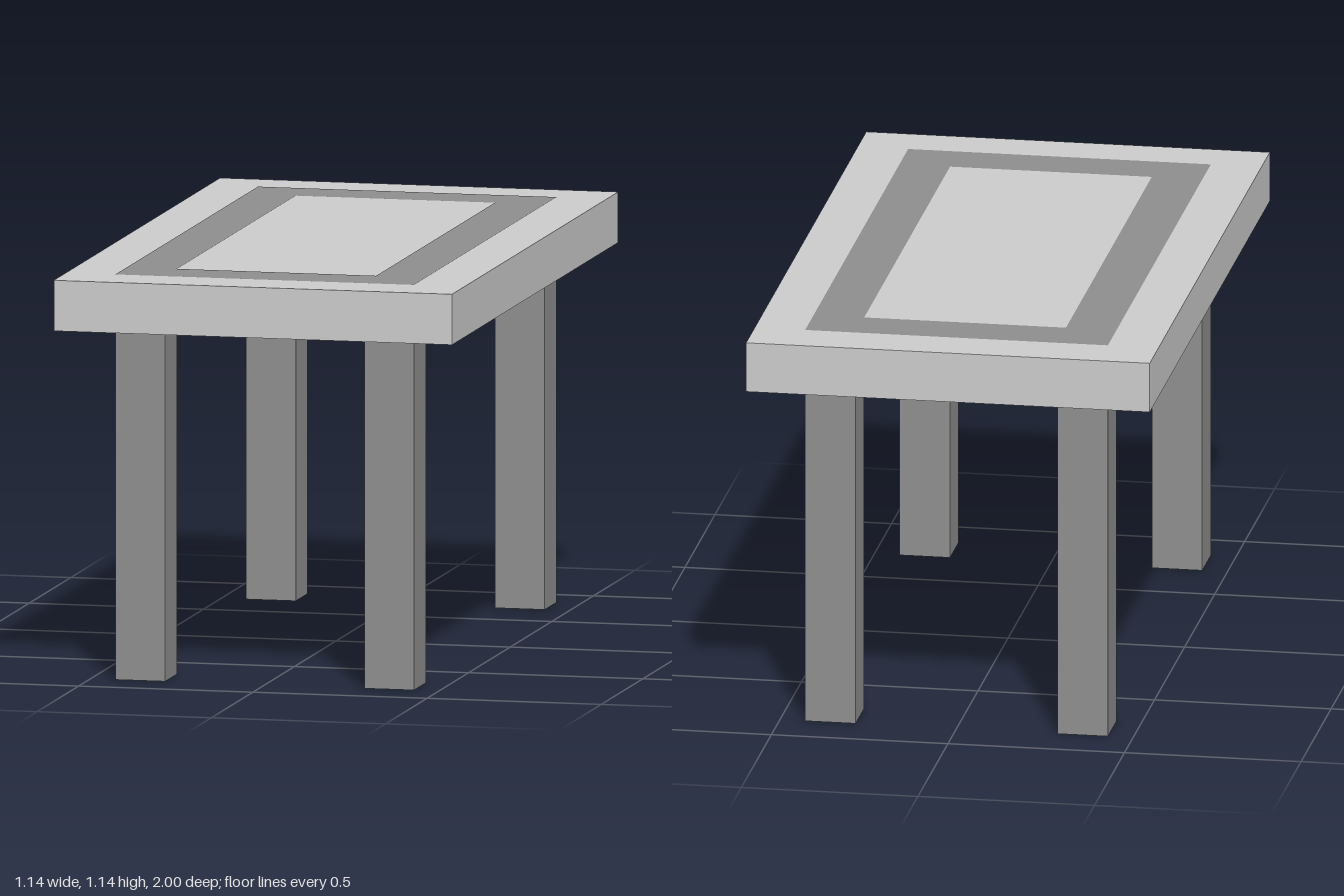
import * as THREE from 'three';

const U = 1 / 7; // the table is laid out on a grid of sevenths

const rectangle = (Path, halfX, halfY) => new Path([
  new THREE.Vector2(-halfX, -halfY),
  new THREE.Vector2(halfX, -halfY),
  new THREE.Vector2(halfX, halfY),
  new THREE.Vector2(-halfX, halfY),
]);

export function createModel() {
  const light = new THREE.MeshStandardMaterial({ color: 0xcccccc });
  const dark = new THREE.MeshStandardMaterial({ color: 0x8e8e8e });
  const table = new THREE.Group();
  table.name = 'table';

  const add = (name, geometry, material, x, y, z) => {
    const mesh = new THREE.Mesh(geometry, material);
    mesh.name = name;
    mesh.position.set(x, y, z);
    table.add(mesh);
    return mesh;
  };

  // Table top
  add('tableTop', new THREE.BoxGeometry(8 * U, U, 14 * U), light, 0, 7.5 * U, 0);

  // Dark rectangular band on the top, lifted a hair to stay visible
  const band = rectangle(THREE.Shape, 3 * U, 6 * U);
  band.holes.push(rectangle(THREE.Path, 2 * U, 5 * U));
  add('inlayBand', new THREE.ShapeGeometry(band), dark, 0, 8 * U + 0.001, 0)
    .rotation.x = -Math.PI / 2;

  // Four square legs
  const legGeometry = new THREE.BoxGeometry(U, 7 * U, U);
  for (const [side, sx] of [['Left', 1], ['Right', -1]]) {
    for (const [end, sz] of [['front', 1], ['back', -1]]) {
      add(`${end}${side}Leg`, legGeometry, dark, sx * 2.5 * U, 3.5 * U, sz * 5.5 * U);
    }
  }

  return table;
}
